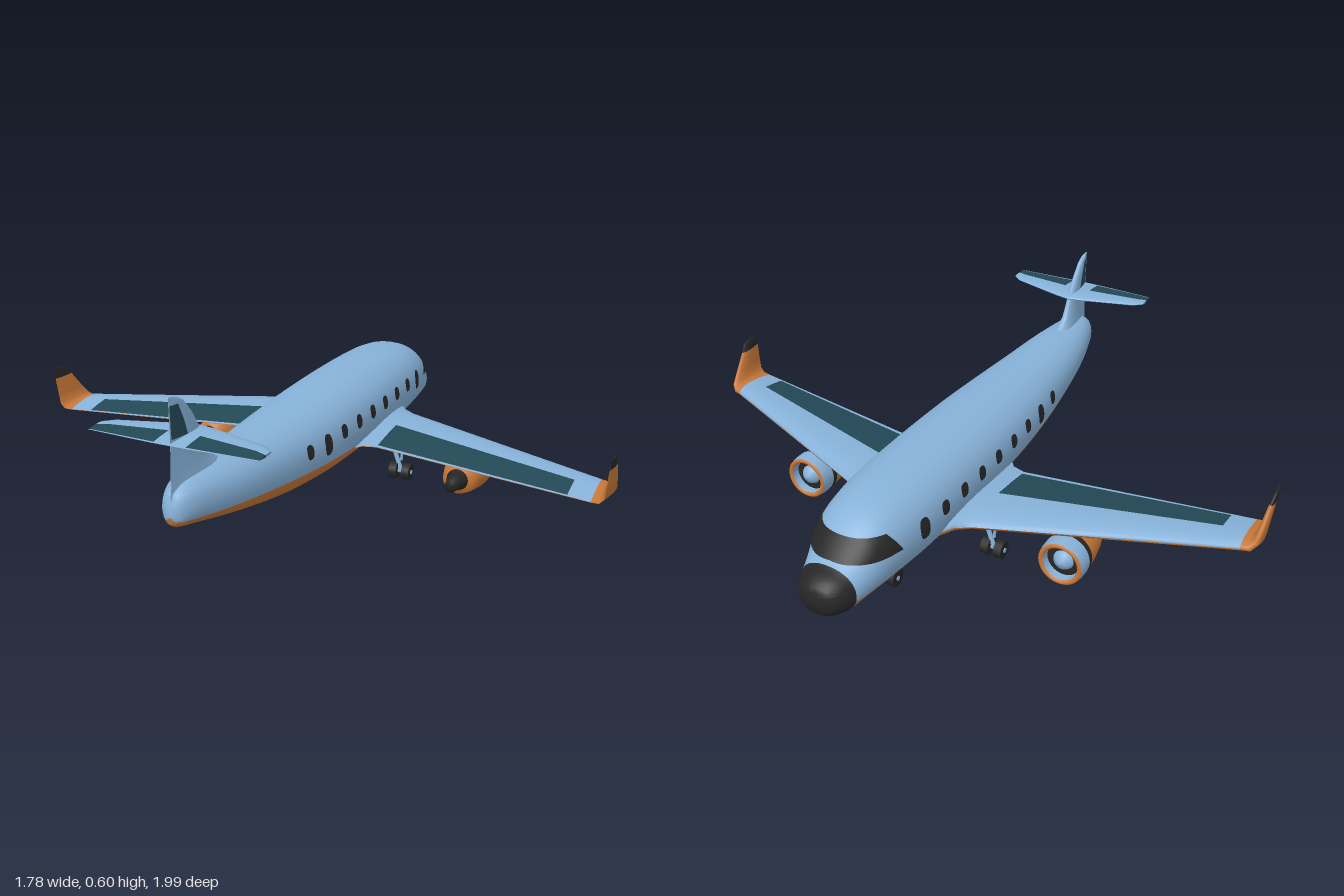
import * as THREE from 'three';
import { toCreasedNormals } from 'three/addons/utils/BufferGeometryUtils.js';

const paint = (name, color) => Object.assign(new THREE.MeshStandardMaterial({ color }), { name });
const blue = paint('skyBlue', 0x87b2d9), orange = paint('orange', 0xc87838);
const teal = paint('darkTeal', 0x234855), black = paint('black', 0x262626);
black.side = THREE.DoubleSide;
const palette = [blue, orange, teal, black];
const BLUE = 0, ORANGE = 1, TEAL = 2, BLACK = 3;

// Closed skin through rings of points, coloured per cell by pick(row, column)
function loft(name, rings, pick) {
  const m = rings[0].length, pos = rings.flat(2), buckets = [[], [], [], []];
  rings.slice(0, -1).forEach((_, i) => {
    for (let j = 0; j < m; j++) {
      const a = i * m + j, b = i * m + (j + 1) % m;
      buckets[pick(i, j)].push(a, b, a + m, b, b + m, a + m);
    }
  });
  [0, rings.length - 1].forEach((i) => {
    const c = pos.length / 3, mid = [0, 1, 2].map((k) => rings[i].reduce((s, p) => s + p[k], 0) / m);
    pos.push(...mid);
    for (let j = 0; j < m; j++) {
      const a = i * m + j, b = i * m + (j + 1) % m;
      buckets[pick(Math.min(i, rings.length - 2), j)].push(...(i ? [a, b, c] : [b, a, c]));
    }
  });
  const index = buckets.flat(), v = (i) => new THREE.Vector3().fromArray(pos, i * 3);
  let volume = 0;
  for (let i = 0; i < index.length; i += 3) volume += v(index[i]).dot(v(index[i + 1]).cross(v(index[i + 2])));
  if (volume < 0) for (let i = 0; i < index.length; i += 3) [index[i], index[i + 1]] = [index[i + 1], index[i]];
  const geo = new THREE.BufferGeometry();
  geo.setAttribute('position', new THREE.Float32BufferAttribute(pos, 3));
  geo.setIndex(index);
  let start = 0;
  buckets.forEach((b, k) => { if (b.length) geo.addGroup(start, b.length, k); start += b.length; });
  const mesh = new THREE.Mesh(toCreasedNormals(geo, 0.9), palette);
  mesh.name = name;
  return mesh;
}

// Fuselage stations: x, top, bottom, half width, paint line
const body = [
  [-0.876, 0.30, 0.25, 0.015, 0.26], [-0.86, 0.335, 0.238, 0.035, 0.258], [-0.8, 0.36, 0.225, 0.062, 0.253],
  [-0.64, 0.368, 0.19, 0.1, 0.241], [-0.41, 0.372, 0.147, 0.13, 0.222], [-0.2, 0.379, 0.124, 0.15, 0.207],
  [0, 0.387, 0.115, 0.16, 0.195], [0.25, 0.392, 0.113, 0.162, 0.184], [0.5, 0.39, 0.115, 0.157, 0.177],
  [0.61, 0.382, 0.116, 0.146, 0.174], [0.68, 0.366, 0.117, 0.135, 0.172], [0.735, 0.335, 0.117, 0.122, 0.17],
  [0.785, 0.288, 0.117, 0.106, 0.168], [0.825, 0.26, 0.117, 0.094, 0.168], [0.865, 0.245, 0.122, 0.078, 0.17],
  [0.895, 0.222, 0.142, 0.05, 0.18], [0.907, 0.186, 0.18, 0.004, 0.183],
];
const slope = (i, k) => {
  const a = body[Math.max(i - 1, 0)], b = body[Math.min(i + 1, body.length - 1)];
  return (b[k] - a[k]) / (b[0] - a[0]);
};
function station(x) {
  let i = 0;
  while (i < body.length - 2 && x > body[i + 1][0]) i++;
  const a = body[i], b = body[i + 1], d = b[0] - a[0], t = (x - a[0]) / d, t2 = t * t, t3 = t2 * t;
  return [1, 2, 3, 4].map((k) => (2 * t3 - 3 * t2 + 1) * a[k] + (t3 - 2 * t2 + t) * d * slope(i, k)
    + (3 * t2 - 2 * t3) * b[k] + (t3 - t2) * d * slope(i + 1, k));
}
const EXP = 0.9, signedPow = (v, p) => Math.sign(v) * Math.abs(v) ** p;
function halfWidth(x, y) {
  const [top, bottom, w] = station(x), q = Math.abs((2 * y - top - bottom) / (top - bottom));
  return w * Math.max(0, 1 - q ** (2 / EXP)) ** (EXP / 2);
}

function fuselage() {
  const UP = 24, LOW = 16, SUB = 4, xs = [];
  for (let i = 0; i < body.length - 1; i++) {
    for (let k = 0; k < SUB; k++) xs.push(THREE.MathUtils.lerp(body[i][0], body[i + 1][0], k / SUB));
  }
  xs.push(body.at(-1)[0]);
  const rings = xs.map((x) => {
    const [top, bottom, w, line] = station(x), yc = (top + bottom) / 2, h = (top - bottom) / 2;
    const q = THREE.MathUtils.clamp((line - yc) / h, -0.95, 0.95), p = Math.asin(signedPow(q, 1 / EXP));
    return Array.from({ length: UP + LOW }, (_, j) => {
      const a = j < UP ? p + (Math.PI - 2 * p) * j / UP : Math.PI - p + (Math.PI + 2 * p) * (j - UP) / LOW;
      return [x, yc + h * signedPow(Math.sin(a), EXP), w * signedPow(Math.cos(a), EXP)];
    });
  });
  return loft('fuselage', rings, (i, j) => (xs[i] > 0.82 ? BLACK : j < UP ? BLUE : ORANGE));
}

// Cabin window or door: rounded plate laid on the fuselage side
function cabinWindow(name, cx, cy, rx, ry, side) {
  const geo = new THREE.CircleGeometry(1, 24), p = geo.attributes.position;
  for (let i = 0; i < p.count; i++) {
    const x = cx + rx * signedPow(p.getX(i), 0.75), y = cy + ry * signedPow(p.getY(i), 0.75);
    p.setXYZ(i, x, y, side * (halfWidth(x, y) + 0.003));
  }
  if (side < 0) geo.index.array.reverse();
  geo.computeVertexNormals();
  return named(name, geo, black);
}

// Windscreen band wrapping round the nose
function windscreen() {
  const geo = new THREE.PlaneGeometry(1, 1, 40, 6), p = geo.attributes.position;
  for (let i = 0; i < p.count; i++) {
    const u = p.getX(i) * 2, v = p.getY(i) + 0.5, s = 1 - Math.abs(u);
    const y = THREE.MathUtils.lerp(0.256 + 0.013 * s, 0.32, v);
    let lo = 0.6, hi = 0.86;
    for (let k = 0; k < 30; k++) {
      const mid = (lo + hi) / 2;
      if (station(mid)[0] > y) lo = mid; else hi = mid;
    }
    const x = THREE.MathUtils.lerp(0.655 + 0.035 * v, lo, Math.sin(s * Math.PI / 2));
    p.setXYZ(i, x + 0.004 * s, y + 0.003, -Math.sign(u) * (halfWidth(x, y) + 0.003 * (1 - s)));
  }
  geo.computeVertexNormals();
  return named('windscreen', geo, black);
}

// Aerofoil outline: [chord fraction, thickness factor], upper side first
const chord = [1, 0.96, 0.75, 0.5, 0.3, 0.15, 0.05, 0.015, 0];
const foilT = (c) => 5 * (0.2969 * Math.sqrt(c) - 0.126 * c - 0.3516 * c * c + 0.2843 * c ** 3 - 0.1036 * c ** 4);
const foil = [...chord.map((c) => [c, foilT(c) + (c === 1 ? 0.02 : 0)]),
  ...chord.slice(0, -1).reverse().map((c) => [c, -foilT(c) - (c === 1 ? 0.02 : 0)])];
const LE = chord.length - 1, onFlap = (j) => (j >= 1 && j < 3) || (j >= foil.length - 4 && j < foil.length - 2);

function wing(side) {
  const L = (z) => 0.4 - (z - 0.18) * 0.412, T = (z) => 0.043 - (z - 0.18) * 0.171;
  const flat = (z) => [z, 0.192 - 0.006 * z, L(z), T(z), 0.052 - 0.014 * z, 0];
  // Stations: z, y, leading x, trailing x, thickness, roll
  const st = [
    [0.05, 0.19, 0.5, -0.04, 0.075, 0], [0.135, 0.19, 0.47, -0.015, 0.07, 0], [0.165, 0.191, 0.42, 0.025, 0.058, 0],
    flat(0.21), flat(0.4), flat(0.65), flat(0.876), flat(0.95),
    [0.975, 0.188, 0.077, -0.092, 0.036, 0.45], [0.99, 0.205, 0.064, -0.094, 0.03, 1.1],
    [0.994, 0.24, 0.035, -0.096, 0.022, 1.45], [1.0, 0.3, -0.012, -0.1, 0.016, 1.5],
    [1.003, 0.325, -0.028, -0.102, 0.012, 1.5], [1.004, 0.335, -0.055, -0.102, 0.006, 1.5],
  ];
  const rings = st.map(([z, y, l, t, th, a]) => foil.map(([c, f]) =>
    [l + (t - l) * c, y + f * th * Math.cos(a), side * (z - f * th * Math.sin(a))]));
  return loft(side > 0 ? 'leftWing' : 'rightWing', rings, (i, j) =>
    i >= 11 ? BLACK : i >= 7 ? ORANGE : i >= 3 && i < 6 && onFlap(j) ? TEAL : j < LE ? BLUE : ORANGE);
}

function tailplane(side) {
  const st = [[0, -0.7, -0.87, 0.022], [0.05, -0.71, -0.87, 0.02], [0.235, -0.765, -0.862, 0.012], [0.265, -0.79, -0.86, 0.008]];
  const rings = st.map(([z, l, t, th]) => foil.map(([c, f]) => [l + (t - l) * c, 0.475 + f * th, side * z]));
  return loft(side > 0 ? 'leftTailplane' : 'rightTailplane', rings, (i, j) => (i > 0 && onFlap(j) ? TEAL : BLUE));
}

function fin() {
  const st = [[0.27, -0.6, -0.877, 0.09], [0.35, -0.6, -0.866, 0.06], [0.372, -0.645, -0.864, 0.046], [0.4, -0.68, -0.862, 0.036],
    [0.45, -0.705, -0.86, 0.03], [0.485, -0.722, -0.86, 0.028], [0.53, -0.75, -0.86, 0.024], [0.58, -0.792, -0.86, 0.018],
    [0.597, -0.82, -0.86, 0.012], [0.604, -0.845, -0.86, 0.006]];
  const rings = st.map(([y, l, t, th]) => foil.map(([c, f]) => [l + (t - l) * c, y, f * th]));
  return loft('tailFin', rings, (i, j) => (i >= 5 && i < 7 && onFlap(j) ? TEAL : BLUE));
}

function named(name, geo, mat) {
  const mesh = new THREE.Mesh(geo, mat);
  mesh.name = name;
  return mesh;
}

// Engine pieces turned about the x axis: [x, radius] profiles
function engine(side) {
  const g = new THREE.Group();
  g.name = side > 0 ? 'leftEngine' : 'rightEngine';
  const turn = (name, mat, pts) => g.add(named(name,
    new THREE.LatheGeometry(pts.map(([x, r]) => new THREE.Vector2(r, x)), 32).rotateZ(-Math.PI / 2), mat));
  turn('exhaustCone', black, [[0.03, 0], [0.03, 0.02], [0.07, 0.026], [0.11, 0.04]]);
  turn('nacelle', orange, [[0.1, 0], [0.1, 0.05], [0.15, 0.064], [0.2, 0.072], [0.24, 0.075]]);
  turn('nacelleBand', black, [[0.24, 0.075], [0.26, 0.076]]);
  turn('cowl', blue, [[0.26, 0.076], [0.29, 0.076], [0.312, 0.073]]);
  turn('intakeLip', orange, [[0.312, 0.073], [0.317, 0.069], [0.317, 0.062], [0.311, 0.057]]);
  turn('intakeDuct', blue, [[0.311, 0.057], [0.285, 0.055]]);
  turn('fan', black, [[0.285, 0.056], [0.286, 0]]);
  turn('spinner', blue, [[0.285, 0.034], [0.297, 0.028], [0.308, 0.014], [0.312, 0]]);
  const pylon = named('pylon', new THREE.BoxGeometry(0.13, 0.05, 0.025), orange);
  pylon.position.set(0.17, 0.075, 0);
  g.add(pylon);
  g.position.set(0, 0.1, side * 0.476);
  return g;
}

function rod(name, a, b, r, mat) {
  const p = new THREE.Vector3(...a), q = new THREE.Vector3(...b), d = q.clone().sub(p);
  const mesh = named(name, new THREE.CylinderGeometry(r, r, d.length(), 12), mat);
  mesh.position.copy(p).add(q).multiplyScalar(0.5);
  mesh.quaternion.setFromUnitVectors(new THREE.Vector3(0, 1, 0), d.normalize());
  return mesh;
}

// Twin-wheel undercarriage leg
function gear(name, x, z, top, brace) {
  const g = new THREE.Group();
  g.name = name;
  g.add(rod('strut', top, [x, 0.03, z], 0.008, blue), rod('brace', brace, [x, 0.07, z], 0.005, blue),
    rod('axle', [x, 0.03, z - 0.04], [x, 0.03, z + 0.04], 0.008, blue));
  for (const s of [-1, 1]) g.add(rod('wheel', [x, 0.03, z + s * 0.01], [x, 0.03, z + s * 0.037], 0.03, black));
  return g;
}

export function createModel() {
  const plane = new THREE.Group();
  plane.name = 'airliner';
  plane.add(fuselage(), windscreen(), fin());
  plane.add(gear('noseGear', 0.537, 0, [0.512, 0.13, 0], [0.56, 0.13, 0]));
  for (const s of [1, -1]) {
    plane.add(wing(s), tailplane(s), engine(s));
    plane.add(gear(s > 0 ? 'leftMainGear' : 'rightMainGear', 0.252, s * 0.218, [0.252, 0.18, s * 0.165], [0.252, 0.18, s * 0.225]));
    for (let i = 0; i < 9; i++) {
      const door = i === 1 || i === 8;
      plane.add(cabinWindow(door ? 'door' : 'cabinWindow', -0.31 + 0.108 * i, door ? 0.272 : 0.282,
        door ? 0.022 : 0.019, door ? 0.034 : 0.023, s));
    }
  }
  plane.rotation.y = 0.207;
  const model = new THREE.Group();
  model.name = 'model';
  model.add(plane);
  return model;
}
